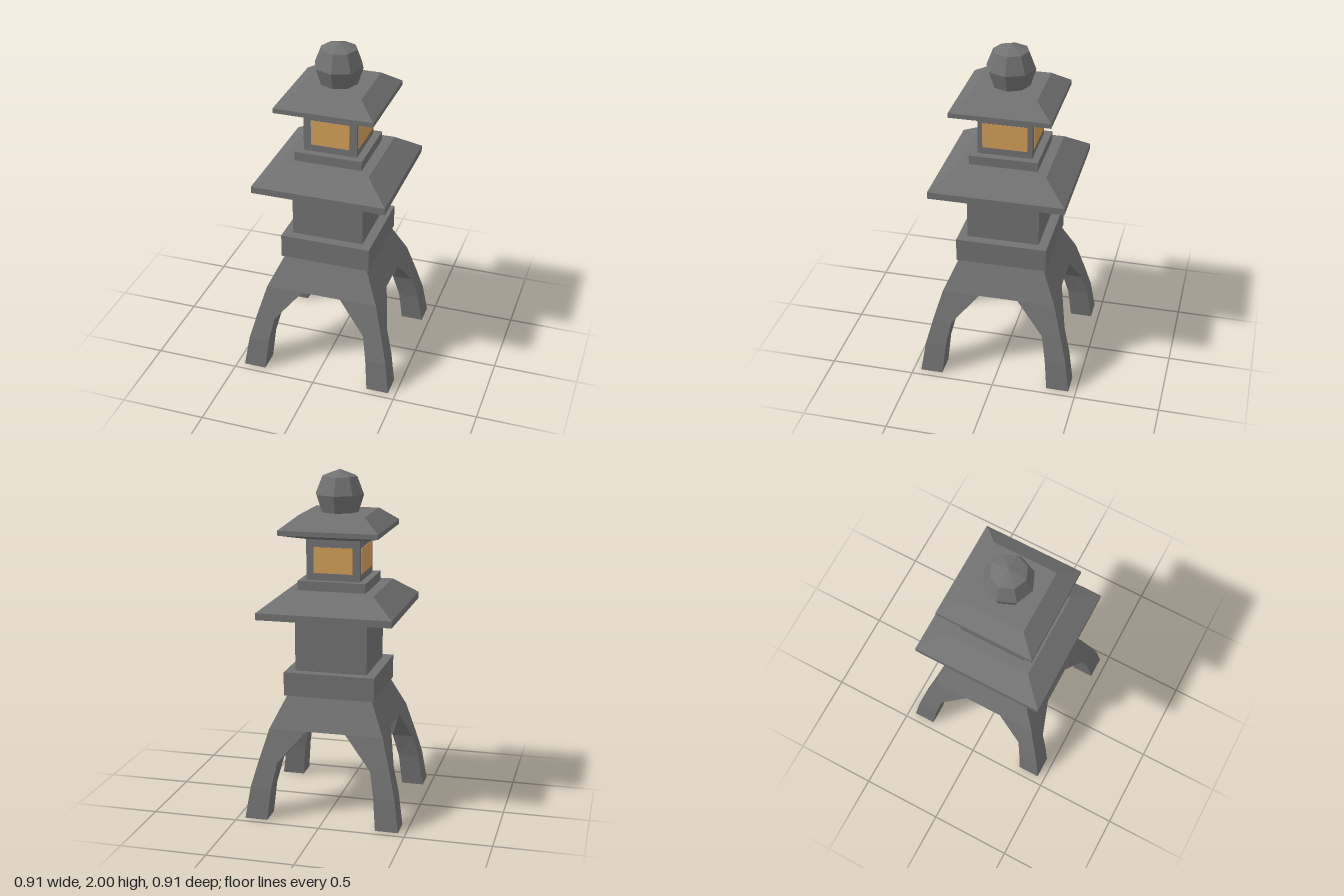
import * as THREE from 'three';

const stone = new THREE.MeshStandardMaterial({ color: 0x727272 });
stone.name = 'stone';
const glow = new THREE.MeshStandardMaterial({ color: 0xd49f59 });
glow.name = 'lampGlow';

// Faceted normals for the whole low-poly lantern
function faceted(geometry) {
  const flat = geometry.index ? geometry.toNonIndexed() : geometry;
  flat.computeVertexNormals();
  return flat;
}

function addMesh(parent, name, geometry, material) {
  const mesh = new THREE.Mesh(geometry, material);
  mesh.name = name;
  parent.add(mesh);
  return mesh;
}

// Square stack from [half width, y] steps, listed bottom to top
function squareTier(steps) {
  const points = steps.map(([half, y]) => new THREE.Vector2(half * Math.SQRT2, y));
  points.unshift(new THREE.Vector2(0, steps[0][1]));
  points.push(new THREE.Vector2(0, steps[steps.length - 1][1]));
  return faceted(new THREE.LatheGeometry(points, 4, Math.PI / 4));
}

// One curved leg at the +x +z corner, lofted through square sections
function legGeometry() {
  // y, outer edge, inner edge, inner corner
  const levels = [
    [0, 0.455, 0.322, 0.322],
    [0.185, 0.428, 0.304, 0.304],
    [0.33, 0.391, 0.277, 0.27],
    [0.52, 0.338, 0.117, 0.2275],
  ];
  const rings = levels.map(([y, o, i, c]) =>
    [[o, o], [o, i], [c, c], [i, o]].map(([x, z]) => [x, y, z]));
  const positions = [];
  const tri = (...corners) => corners.forEach((p) => positions.push(...p));
  for (let k = 0; k < rings.length - 1; k++) {
    for (let j = 0; j < 4; j++) {
      const n = (j + 1) % 4;
      const a = rings[k][j], b = rings[k][n], c = rings[k + 1][n], d = rings[k + 1][j];
      // The diagonal swaps so the inside braces mirror each other
      if (j < 2) { tri(a, b, d); tri(b, c, d); }
      else { tri(a, b, c); tri(a, c, d); }
    }
  }
  // Sole
  const [p, q, r, s] = rings[0];
  tri(p, r, q);
  tri(p, s, r);
  const geometry = new THREE.BufferGeometry();
  geometry.setAttribute('position', new THREE.Float32BufferAttribute(positions, 3));
  return faceted(geometry);
}

export function createModel() {
  const lantern = new THREE.Group();
  lantern.name = 'stoneLantern';

  // Four legs under a tapered block
  const leg = legGeometry();
  for (let k = 0; k < 4; k++) {
    addMesh(lantern, 'leg', leg, stone).rotation.y = k * Math.PI / 2;
  }

  // Square tiers, bottom to top
  const tiers = {
    legBlock: [[0.338, 0.52], [0.25, 0.71]],
    plinth: [[0.268, 0.707], [0.268, 0.847]],
    body: [[0.213, 0.847], [0.213, 1.14]],
    lowerRoof: [[0.21, 1.135], [0.394, 1.18], [0.394, 1.22], [0.26, 1.323]],
    lampBase: [[0.2, 1.32], [0.2, 1.378]],
    lampHousing: [[0.158, 1.375], [0.158, 1.62]],
    upperRoof: [[0.16, 1.615], [0.29, 1.65], [0.29, 1.678], [0.19, 1.757]],
  };
  for (const [name, steps] of Object.entries(tiers)) {
    addMesh(lantern, name, squareTier(steps), stone);
  }

  // Glowing window panels on all four sides
  for (let k = 0; k < 4; k++) {
    const width = k % 2 ? 0.26 : 0.227;
    const side = new THREE.Group();
    side.name = 'windowSide';
    side.rotation.y = k * Math.PI / 2;
    addMesh(side, 'window', new THREE.BoxGeometry(width, 0.15, 0.006), glow)
      .position.set(0, 1.495, 0.158);
    lantern.add(side);
  }

  // Eight-sided finial
  const finial = [[0, 1.75], [0.11, 1.755], [0.143, 1.858], [0.103, 1.96], [0, 2]]
    .map(([r, y]) => new THREE.Vector2(r, y));
  addMesh(lantern, 'finial', faceted(new THREE.LatheGeometry(finial, 8)), stone);

  return lantern;
}
